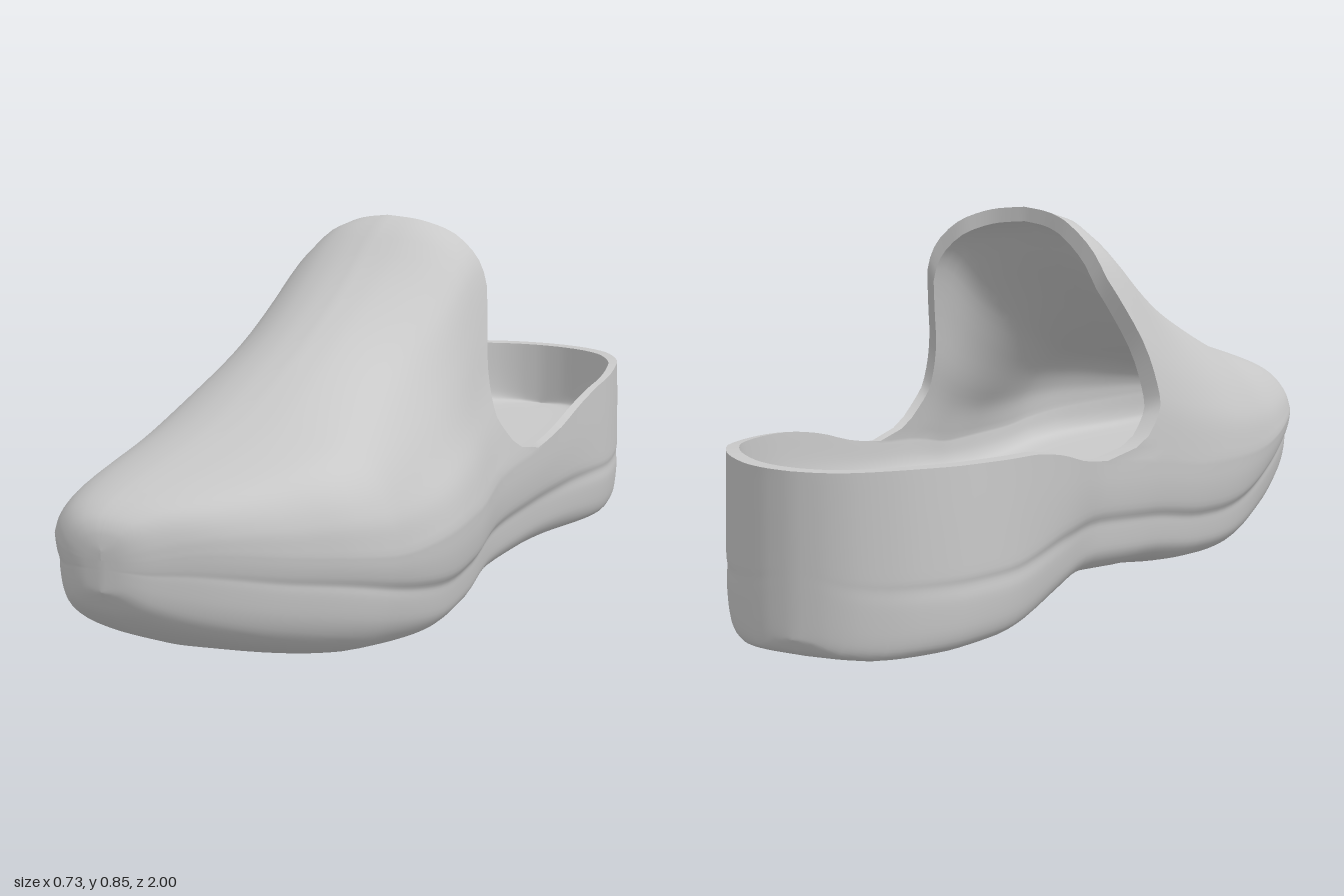
import * as THREE from 'three';
import { mergeVertices } from 'three/addons/utils/BufferGeometryUtils.js';

// Smooth monotone curve through [key, value] pairs with rising keys
function curve(pts) {
  const n = pts.length;
  const s = [];
  for (let i = 0; i < n - 1; i++) s.push((pts[i + 1][1] - pts[i][1]) / (pts[i + 1][0] - pts[i][0]));
  const m = pts.map((_, i) => {
    if (i === 0) return s[0];
    if (i === n - 1) return s[n - 2];
    return s[i - 1] * s[i] <= 0 ? 0 : (2 * s[i - 1] * s[i]) / (s[i - 1] + s[i]);
  });
  return (k) => {
    if (k <= pts[0][0]) return pts[0][1];
    if (k >= pts[n - 1][0]) return pts[n - 1][1];
    let i = 0;
    while (k > pts[i + 1][0]) i++;
    const h = pts[i + 1][0] - pts[i][0], t = (k - pts[i][0]) / h, u = 1 - t;
    return (1 + 2 * t) * u * u * pts[i][1] + t * u * u * h * m[i]
      + t * t * (3 - 2 * t) * pts[i + 1][1] - t * t * u * h * m[i + 1];
  };
}
// Cross-section profile: t in 0..1 gives [width fraction, height fraction]
function profile(pts) {
  const n = pts.length - 1;
  const fx = curve(pts.map((p, i) => [i / n, p[0]]));
  const fy = curve(pts.map((p, i) => [i / n, p[1]]));
  return (t) => [fx(t), fy(t)];
}
const { lerp: mix, smoothstep } = THREE.MathUtils;
const blend = (a, b, k) => [mix(a[0], b[0], k), mix(a[1], b[1], k)];

// Plan outline, by z
const rightX = curve([[-1, 0], [-0.997, -0.04], [-0.99, -0.075], [-0.97, -0.128], [-0.9, -0.22], [-0.8, -0.28],
  [-0.65, -0.305], [-0.4, -0.29], [-0.2, -0.268], [-0.05, -0.312], [0, -0.32], [0.2, -0.35], [0.4, -0.366],
  [0.6, -0.35], [0.8, -0.31], [0.9, -0.262], [0.97, -0.2], [0.99, -0.16], [0.997, -0.128], [1, -0.09]]);
const leftX = curve([[-1, 0], [-0.997, 0.04], [-0.99, 0.075], [-0.97, 0.128], [-0.9, 0.217], [-0.8, 0.277],
  [-0.6, 0.315], [-0.4, 0.32], [-0.2, 0.318], [0, 0.316], [0.2, 0.345], [0.4, 0.362], [0.6, 0.354],
  [0.7, 0.32], [0.8, 0.245], [0.9, 0.135], [0.97, 0.02], [0.99, -0.025], [0.997, -0.055], [1, -0.09]]);
// Side heights, by z: underside, insole, vamp ridge, and the line between lower wall and vamp
const underside = curve([[-1, 0.08], [-0.98, 0.05], [-0.93, 0.036], [-0.6, 0.04], [-0.2, 0.042], [0, 0.035],
  [0.2, 0.008], [0.35, 0], [0.6, 0.027], [0.8, 0.08], [0.9, 0.125], [0.97, 0.18], [1, 0.232]]);
const insole = curve([[-1, 0.25], [-0.3, 0.238], [0, 0.22], [0.4, 0.185], [0.8, 0.22], [1, 0.27]]);
const ridge = curve([[-0.1, 0.852], [-0.03, 0.845], [0, 0.828], [0.1, 0.752], [0.2, 0.69], [0.4, 0.588],
  [0.6, 0.507], [0.8, 0.447], [0.93, 0.403], [0.975, 0.375], [0.993, 0.348], [1, 0.315]]);
const wallTop = curve([[-1, 0.405], [-0.9, 0.41], [-0.6, 0.397], [-0.45, 0.375], [-0.3, 0.338], [-0.18, 0.32],
  [-0.05, 0.31], [0.2, 0.27], [0.5, 0.26], [0.8, 0.295], [0.93, 0.312], [1, 0.295]]);
// Throat edge: z by height fraction
const throat = curve([[0, -0.18], [0.04, -0.1], [0.12, -0.04], [0.25, 0], [0.42, -0.01], [0.62, -0.05],
  [0.75, -0.075], [0.92, -0.07], [1, -0.045]]);

// Lower cross-sections
const soleToe = profile([[0, 0], [0.35, 0.03], [0.65, 0.1], [0.84, 0.24], [0.92, 0.45], [0.945, 0.66],
  [0.945, 0.72], [0.97, 0.8], [0.99, 0.9], [1, 1]]);
const soleFront = profile([[0, 0], [0.35, 0.025], [0.65, 0.08], [0.84, 0.16], [0.91, 0.28], [0.925, 0.42],
  [0.93, 0.5], [0.97, 0.6], [0.995, 0.82], [1, 1]]);
const soleHeel = profile([[0, 0], [0.5, 0.005], [0.82, 0.02], [0.94, 0.07], [0.98, 0.16], [0.995, 0.3],
  [0.985, 0.38], [0.995, 0.44], [0.99, 0.7], [0.98, 1]]);
const insoleSection = profile([[0, 0], [0.5, 0.01], [0.82, 0.05], [0.93, 0.17], [0.98, 0.5], [1, 1]]);
// Vamp cross-sections at the throat, instep and toe; the toe is fuller on the left
const archThroat = {
  left: profile([[1, 0], [0.94, 0.18], [0.86, 0.36], [0.78, 0.6], [0.67, 0.82], [0.42, 0.95], [0.2, 0.99], [0, 1]]),
  right: profile([[1, 0], [0.985, 0.18], [0.93, 0.36], [0.79, 0.6], [0.61, 0.82], [0.35, 0.95], [0.17, 0.985], [0, 1]]),
};
const archInstep = {
  left: profile([[1, 0], [0.95, 0.18], [0.85, 0.36], [0.71, 0.6], [0.53, 0.82], [0.31, 0.94], [0.15, 0.985], [0, 1]]),
  right: profile([[1, 0], [0.97, 0.2], [0.89, 0.4], [0.75, 0.62], [0.55, 0.82], [0.31, 0.945], [0.15, 0.985], [0, 1]]),
};
const archToe = {
  left: profile([[1, 0], [0.99, 0.25], [0.94, 0.5], [0.83, 0.74], [0.65, 0.9], [0.4, 0.97], [0.2, 0.995], [0, 1]]),
  right: profile([[1, 0], [0.96, 0.23], [0.87, 0.47], [0.73, 0.69], [0.53, 0.86], [0.31, 0.955], [0.15, 0.99], [0, 1]]),
};

const FRONT = 44, BACK = 28, LOWER = 36, UPPER = 28;
const SHRINK_Z = 0.965, WALL = 0.032;

function rowZ(i) {
  return i <= FRONT
    ? 1 - 1.18 * (1 - Math.cos((Math.PI * i) / 2 / FRONT))
    : -0.18 - 0.82 * Math.sin((Math.PI * (i - FRONT)) / 2 / BACK);
}

// The wall is thicker on the right than on the left
function place(z, frac, y, side, inner) {
  const l = leftX(z), r = rightX(z);
  const shrink = inner ? (side > 0 ? 0.935 : 0.875) : 1;
  return [(l + r) / 2 + side * frac * shrink * ((l - r) / 2), y, inner ? z * SHRINK_Z : z];
}

// Sole and side wall point, from the middle of the sole up to the wall top
function lowerPoint(i, j, side, inner) {
  const z = rowZ(i), t = j / LOWER;
  const front = blend(soleFront(t), soleToe(t), smoothstep(z, 0.25, 0.75));
  const [fx, fy] = inner ? insoleSection(t) : blend(soleHeel(t), front, smoothstep(z, -0.7, -0.18));
  return place(z, fx, mix(inner ? insole(z) : underside(z), wallTop(z), fy), side, inner);
}

// Vamp point, from the wall top over to the ridge; rows run from toe to throat
function upperPoint(i, j, side, inner) {
  const t = j / UPPER, key = side > 0 ? 'left' : 'right';
  const section = archThroat[key](t);
  const z = 1 + ((rowZ(i) - 1) * (1 - throat(section[1]))) / 1.18;
  const back = blend(section, archInstep[key](t), smoothstep(z, 0, 0.3));
  const [fx, fy] = blend(back, archToe[key](t), smoothstep(z, 0.3, 0.75));
  return place(z, fx, mix(wallTop(z), ridge(z) - (inner ? WALL : 0), fy), side, inner);
}

function addGrid(out, rows, cols, point, flip) {
  for (let i = 0; i < rows; i++) {
    for (let j = 0; j < cols; j++) {
      const a = point(i, j), b = point(i + 1, j), c = point(i + 1, j + 1), d = point(i, j + 1);
      const quad = flip ? [a, c, b, a, d, c] : [a, b, c, a, c, d];
      quad.forEach((p) => out.push(...p));
    }
  }
}

function smoothMesh(positions, material, name) {
  let geometry = new THREE.BufferGeometry();
  geometry.setAttribute('position', new THREE.Float32BufferAttribute(positions, 3));
  geometry = mergeVertices(geometry, 1e-4);
  geometry.computeVertexNormals();
  const mesh = new THREE.Mesh(geometry, material);
  mesh.name = name;
  return mesh;
}

function shell(inner) {
  const out = [];
  for (const side of [1, -1]) {
    const flip = (side < 0) !== inner;
    addGrid(out, FRONT + BACK, LOWER, (i, j) => lowerPoint(i, j, side, inner), flip);
    addGrid(out, FRONT, UPPER, (i, j) => upperPoint(i, j, side, inner), flip);
  }
  return out;
}

// Edge of the opening: down the throat, then back along the wall top to the heel
function edgePoint(k, side, inner) {
  return k <= UPPER
    ? upperPoint(FRONT, UPPER - k, side, inner)
    : lowerPoint(FRONT + k - UPPER, LOWER, side, inner);
}

function rim() {
  const out = [];
  for (const side of [1, -1]) {
    addGrid(out, UPPER + BACK, 1, (k, j) => edgePoint(k, side, j === 1), side < 0);
  }
  return out;
}

export function createModel() {
  const group = new THREE.Group();
  group.name = 'clog';
  const grey = new THREE.MeshStandardMaterial({ color: 0xc8c8c8 });
  grey.name = 'plain grey';
  group.add(
    smoothMesh(shell(false), grey, 'outerShell'),
    smoothMesh(shell(true), grey, 'innerLining'),
    smoothMesh(rim(), grey, 'openingRim'),
  );
  return group;
}
